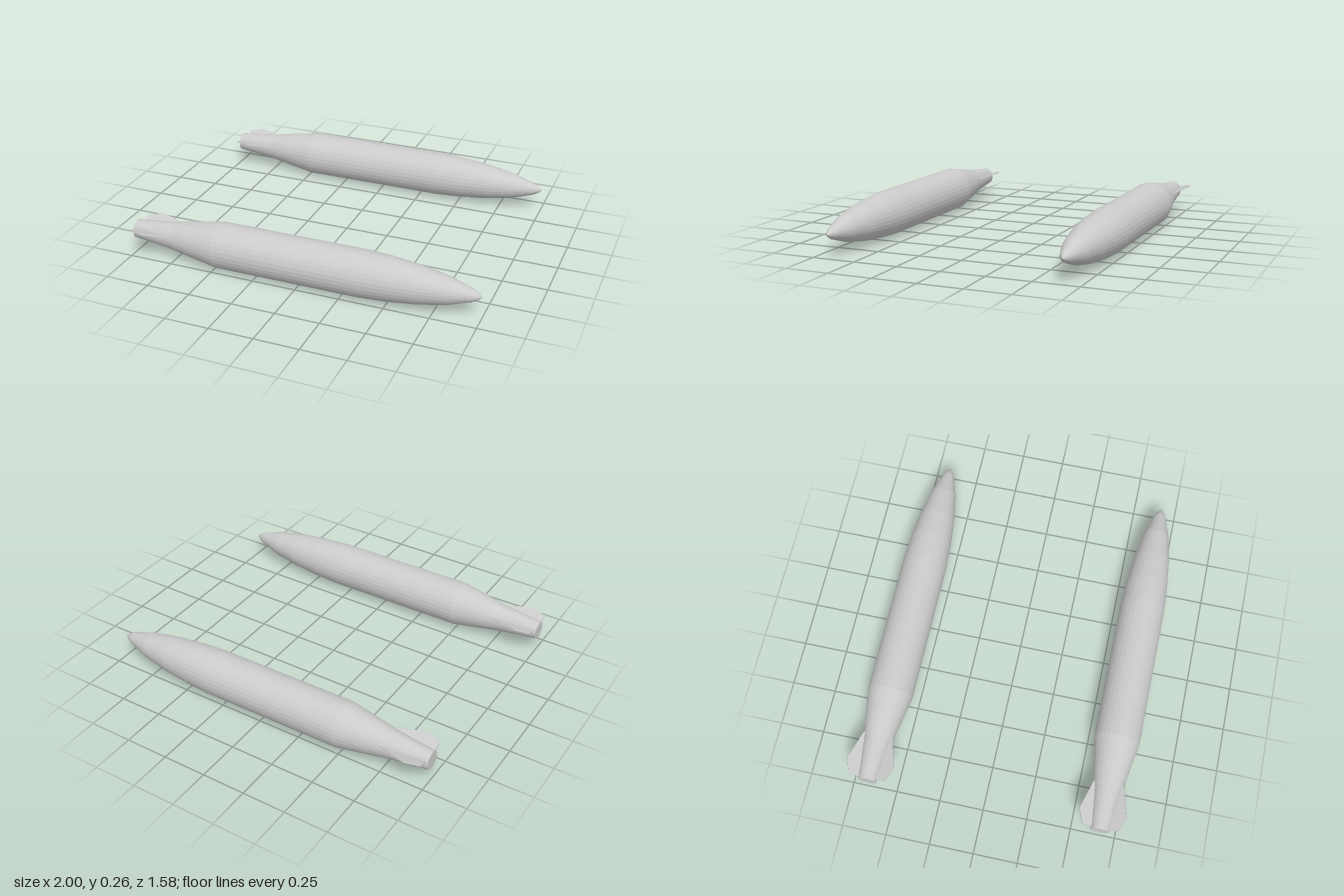
import * as THREE from 'three';

const material = new THREE.MeshStandardMaterial({ color: 0xcccccc, flatShading: true });

// Lathed hull along x: [x, radius] from tail to nose
function makeBody() {
  const profile = [
    [-1, 0], [-1, 0.052], [-0.87, 0.066], [-0.76, 0.079], [-0.65, 0.1], [-0.48, 0.129],
    [0.35, 0.129], [0.5, 0.121], [0.66, 0.104], [0.82, 0.075], [0.95, 0.034], [0.98, 0.018], [1, 0],
  ].map(([x, r]) => new THREE.Vector2(r, x));
  const body = new THREE.Mesh(new THREE.LatheGeometry(profile, 32).rotateZ(-Math.PI / 2), material);
  body.name = 'tankBody';
  return body;
}

// Thin tail fin, rooted inside the hull and tilted upward
function makeFin(side) {
  const outline = [[-0.71, 0.03], [-0.74, 0.089], [-0.905, 0.139], [-0.988, 0.108], [-0.988, 0.03]];
  const shape = new THREE.Shape(outline.map(([x, s]) => new THREE.Vector2(x, s)));
  const thickness = 0.008;
  const dihedral = 0.31;
  const geometry = new THREE.ExtrudeGeometry(shape, { depth: thickness, bevelEnabled: false });
  geometry.translate(0, 0, -thickness / 2).rotateX(side * (Math.PI / 2 - dihedral));
  const fin = new THREE.Mesh(geometry, material);
  fin.name = side > 0 ? 'frontFin' : 'rearFin';
  fin.position.y = 0.003;
  return fin;
}

export function createModel() {
  const model = new THREE.Group();
  model.name = 'dropTanks';
  // Two identical tanks lying side by side, noses toward +x
  for (const side of [1, -1]) {
    const tank = new THREE.Group();
    tank.name = side > 0 ? 'frontTank' : 'rearTank';
    tank.add(makeBody(), makeFin(1), makeFin(-1));
    tank.position.set(0, 0.133, side * 0.658);
    model.add(tank);
  }
  return model;
}
